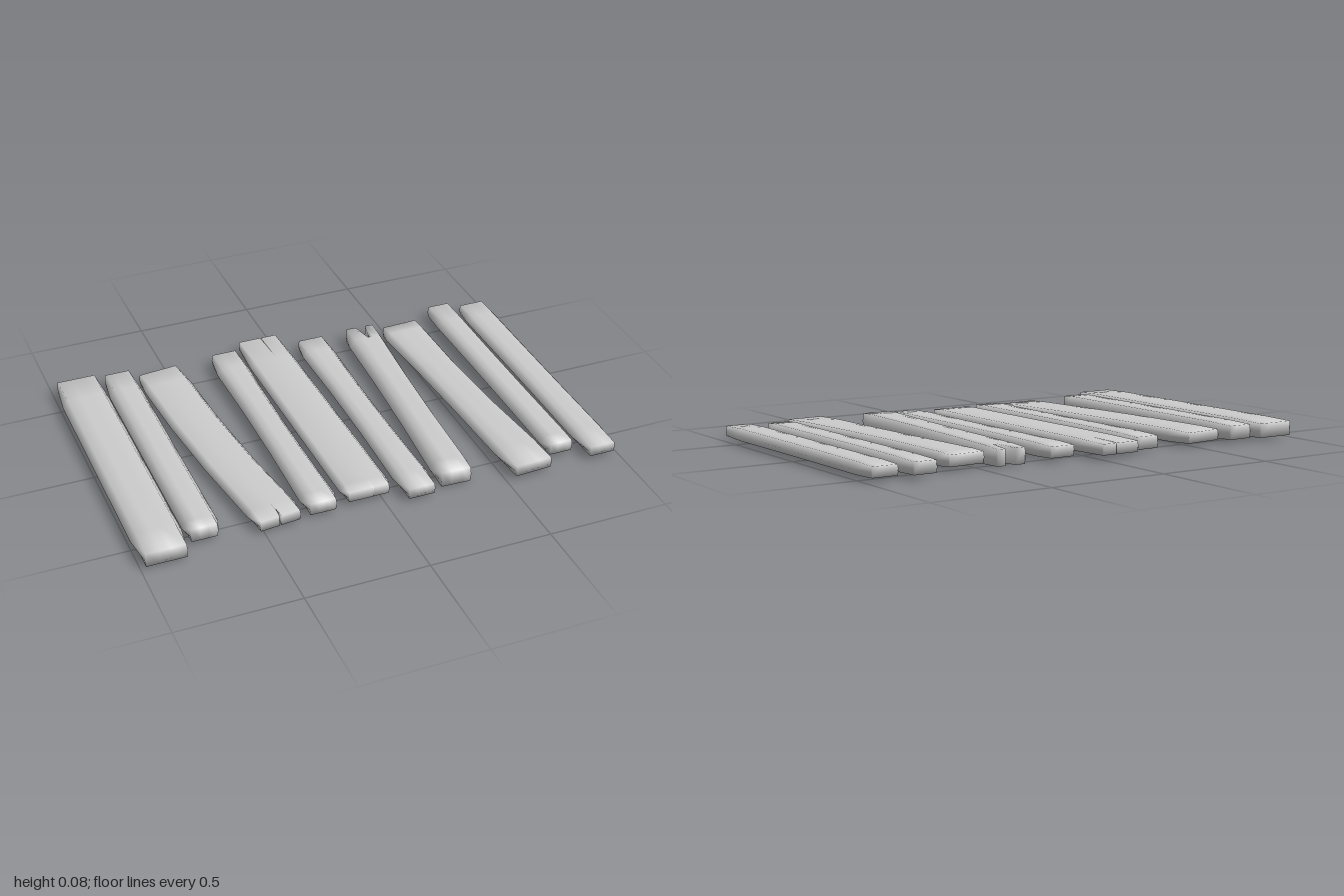
import * as THREE from 'three';

// Each plank: middle x, width w, back and front z, underside y, thickness h.
// lean: sideways shift towards the front; bow: sideways bulge of the middle;
// waist: narrowing of the middle; skew: slant of the ends;
// split: crack at one end (-1 back, 1 front), u across, half width, depth.
const PLANKS = [
  { x: -0.9, w: 0.2, back: -0.615, front: 0.63, y: 0.008, h: 0.068 },
  { x: -0.727, w: 0.144, back: -0.595, front: 0.555, y: 0.01, h: 0.066 },
  { x: -0.495, w: 0.205, back: -0.569, front: 0.584, y: 0.01, h: 0.053, lean: 0.051, bow: -0.015, skew: -0.018,
    split: { end: 1, u: 0.5, half: 0.025, depth: 0.07 } },
  { x: -0.252, w: 0.145, back: -0.585, front: 0.568, y: 0.01, h: 0.06, waist: 0.015 },
  { x: -0.065, w: 0.207, back: -0.645, front: 0.553, y: 0.015, h: 0.053, lean: 0.008,
    split: { end: -1, u: 0.6, half: 0.02, depth: 0.06 } },
  { x: 0.141, w: 0.147, back: -0.563, front: 0.615, y: 0.01, h: 0.054, waist: 0.015 },
  { x: 0.339, w: 0.162, back: -0.558, front: 0.58, y: 0, h: 0.074, lean: -0.029, waist: 0.013, skew: 0.005,
    split: { end: -1, u: 0.53, half: 0.18, depth: 0.1 } },
  { x: 0.58, w: 0.195, back: -0.526, front: 0.637, y: 0.013, h: 0.055, lean: 0.027, bow: -0.005, waist: 0.021, skew: -0.008 },
  { x: 0.777, w: 0.135, back: -0.605, front: 0.56, y: 0.013, h: 0.058, waist: 0.005 },
  { x: 0.927, w: 0.146, back: -0.575, front: 0.63, y: 0.013, h: 0.051, waist: 0.004 },
];

const N = 12; // ring: left ridge, five top points, right ridge, five bottom points
const UNSPLIT = { end: 0, u: 0.5, half: 0.15, depth: 0 };

function plankGeometry({ x, w, back, front, y, h, lean = 0, bow = 0, waist = 0, skew = 0, split = UNSPLIT }) {
  const across = [0, split.u - split.half, split.u, split.u + split.half, 1];
  const sections = [back, -0.46, -0.16, 0.17, 0.5, front];
  const last = sections.length - 1;
  const pos = [], index = [];

  sections.forEach((z, k) => {
    const end = k === 0 ? -1 : k === last ? 1 : 0;
    const t = z / 0.48;
    const middle = Math.max(0, 1 - t * t);
    const centre = x + lean * t + bow * middle;
    const width = w - (end ? 0.033 : waist * middle); // ends are pinched
    const slant = Math.abs(t) > 0.9 ? skew : 0;
    const bevel = (end ? 0.004 : 0.022) / width;
    const low = y + (end ? 0.005 : 0), high = y + h - (end ? 0.004 : 0);

    const add = (u, py, pull = 0) =>
      pos.push(centre + (u - 0.5) * width, py, z + (u - 0.5) * slant - pull);
    const flat = (j, py) => add(
      THREE.MathUtils.lerp(bevel, 1 - bevel, across[j]), py,
      j === 2 && end === split.end ? end * split.depth : 0);

    add(0, y + h / 2);
    for (let j = 0; j < 5; j++) flat(j, high);
    add(1, y + h / 2);
    for (let j = 4; j >= 0; j--) flat(j, low);
  });

  // Long sides
  for (let k = 0; k < last; k++) {
    for (let i = 0; i < N; i++) {
      const a = k * N + i, b = k * N + (i + 1) % N;
      index.push(a, a + N, b + N, a, b + N, b);
    }
  }
  // End grain, in strips from top to bottom so that a split forms a V
  const cap = (base, isFront) => {
    const tri = (a, b, c) => index.push(base + a, base + (isFront ? b : c), base + (isFront ? c : b));
    tri(0, 11, 1);
    for (let i = 1; i < 5; i++) {
      tri(i, 12 - i, 11 - i);
      tri(i, 11 - i, i + 1);
    }
    tri(5, 7, 6);
  };
  cap(0, false);
  cap(last * N, true);

  const geometry = new THREE.BufferGeometry();
  geometry.setAttribute('position', new THREE.Float32BufferAttribute(pos, 3));
  geometry.setIndex(index);
  geometry.computeVertexNormals();
  return geometry;
}

export function createModel() {
  const group = new THREE.Group();
  group.name = 'plankWalkway';
  const material = new THREE.MeshStandardMaterial({ color: 0xcccccc });
  PLANKS.forEach((plank, i) => {
    const mesh = new THREE.Mesh(plankGeometry(plank), material);
    mesh.name = `plank${i + 1}`;
    group.add(mesh);
  });
  return group;
}
